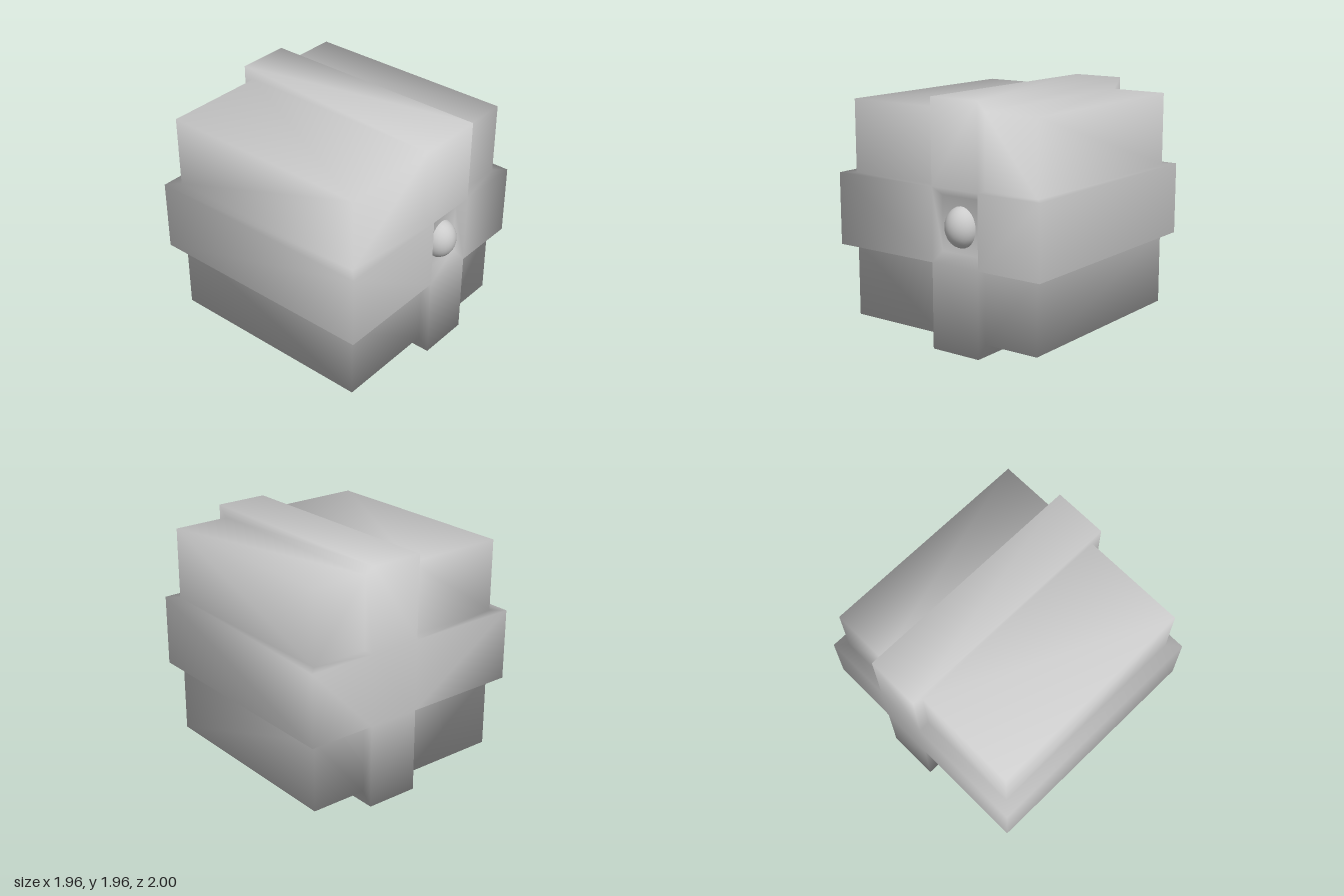
import * as THREE from 'three';
import { mergeVertices } from 'three/addons/utils/BufferGeometryUtils.js';

const material = () => new THREE.MeshStandardMaterial({ color: 0xcccccc });

// Collects quads, each wound to face the given outward direction.
function quadBuilder() {
  const pos = [];
  const ab = new THREE.Vector3(), ac = new THREE.Vector3();
  return {
    quad(a, b, c, d, out) {
      ab.subVectors(c, a);
      ac.subVectors(d, b);
      const q = ab.cross(ac).dot(out) < 0 ? [a, d, c, b] : [a, b, c, d];
      for (const i of [0, 1, 2, 0, 2, 3]) pos.push(q[i].x, q[i].y, q[i].z);
    },
    build() {
      const g = new THREE.BufferGeometry();
      g.setAttribute('position', new THREE.Float32BufferAttribute(pos, 3));
      const merged = mergeVertices(g, 1e-4);
      merged.computeVertexNormals();
      return merged;
    },
  };
}

const V = (x, y, z) => new THREE.Vector3(x, y, z);

// Low and high limits of the bands, the outer shell and the sunken panels
const bandX = [-0.02, 0.42], bandY = [0.69, 1.28];
const outX = [-0.98, 0.98], outY = [0, 1.96], outZ = [-1, 0.96];
const inX = [-0.88, 0.895], inY = [0.095, 1.87], inZ = [-0.91, 0.87];

function wrappedBox() {
  const { quad, build } = quadBuilder();
  const sign = [-1, 1];

  // Four corner blocks, sunk between the two bands
  for (const i of [0, 1]) for (const j of [0, 1]) {
    const top = outZ.map((z) => V(bandX[i], outY[j], z));
    const side = outZ.map((z) => V(outX[i], bandY[j], z));
    const cross = outZ.map((z) => V(bandX[i], bandY[j], z));
    const a = inZ.map((z) => V(bandX[i], inY[j], z));
    const b = inZ.map((z) => V(inX[i], bandY[j], z));
    const c = inZ.map((z) => V(bandX[i], bandY[j], z));
    const d = inZ.map((z) => V(inX[i], inY[j], z));
    const ox = V(sign[i], 0, 0), oy = V(0, sign[j], 0);
    quad(a[0], a[1], d[1], d[0], oy);
    quad(b[0], b[1], d[1], d[0], ox);
    quad(top[0], top[1], a[1], a[0], ox);
    quad(side[0], side[1], b[1], b[0], oy);
    for (const k of [0, 1]) {
      quad(a[k], c[k], b[k], d[k], V(0, 0, sign[k]));
      quad(cross[k], c[k], a[k], top[k], ox);
      quad(cross[k], c[k], b[k], side[k], oy);
    }
  }

  // Outer faces of both bands
  const [x0, x1] = bandX, [y0, y1] = bandY, [z0, z1] = outZ;
  for (const i of [0, 1]) {
    const x = outX[i], y = outY[i];
    quad(V(x0, y, z0), V(x1, y, z0), V(x1, y, z1), V(x0, y, z1), V(0, sign[i], 0));
    quad(V(x, y0, z0), V(x, y1, z0), V(x, y1, z1), V(x, y0, z1), V(sign[i], 0, 0));
    for (const k of [0, 1]) {
      const z = outZ[k], out = V(0, 0, sign[k]);
      quad(V(x0, bandY[i], z), V(x1, bandY[i], z), V(x1, y, z), V(x0, y, z), out);
      quad(V(bandX[i], y0, z), V(bandX[i], y1, z), V(x, y1, z), V(x, y0, z), out);
    }
  }
  quad(V(x0, y0, z0), V(x1, y0, z0), V(x1, y1, z0), V(x0, y1, z0), V(0, 0, -1));

  // Shallow bevelled recess where the bands cross at the front
  const ring = (x, y, X, Y, z) => [V(x, y, z), V(X, y, z), V(X, Y, z), V(x, Y, z)];
  const rim = ring(x0, y0, x1, y1, z1);
  const floor = ring(0.02, 0.77, 0.38, 1.21, 0.88);
  for (let i = 0; i < 4; i++) {
    const n = (i + 1) % 4;
    quad(rim[i], rim[n], floor[n], floor[i], V(0, 0, 1));
  }
  quad(...floor, V(0, 0, 1));
  return build();
}

export function createModel() {
  const group = new THREE.Group();

  const box = new THREE.Mesh(wrappedBox(), material());
  box.name = 'bandedBox';
  group.add(box);

  // Oval knob standing in the recess
  const dome = new THREE.SphereGeometry(1, 24, 8, 0, Math.PI * 2, 0, Math.PI / 2);
  dome.rotateX(Math.PI / 2);
  dome.scale(0.14, 0.165, 0.14);
  const knob = new THREE.Mesh(dome, material());
  knob.name = 'frontKnob';
  knob.position.set(0.2, 0.98, 0.86);
  group.add(knob);

  return group;
}
